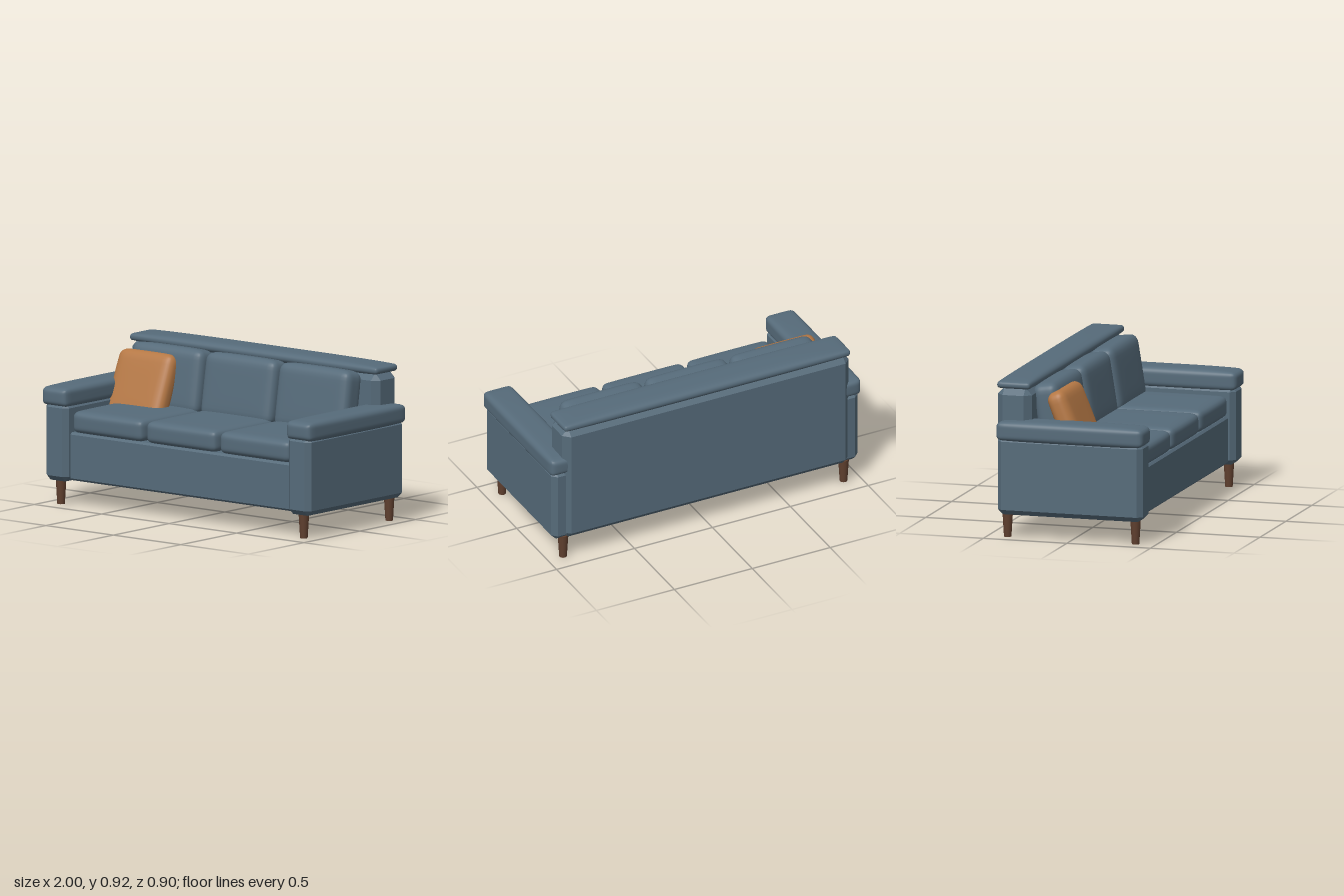
import * as THREE from 'three';
import { mergeVertices } from 'three/addons/utils/BufferGeometryUtils.js';
import { ConvexGeometry } from 'three/addons/geometries/ConvexGeometry.js';

const fabric = new THREE.MeshStandardMaterial({ color: 0x566b7a });
fabric.name = 'blue grey fabric';
const pillowFabric = new THREE.MeshStandardMaterial({ color: 0xb57845 });
pillowFabric.name = 'orange fabric';
const wood = new THREE.MeshStandardMaterial({ color: 0x60402f });
wood.name = 'brown wood';

// Box with every edge cut flat, given by its min and max corners
function chamferBox([x0, y0, z0], [x1, y1, z1], c) {
  const half = [(x1 - x0) / 2, (y1 - y0) / 2, (z1 - z0) / 2];
  const points = [];
  for (const sx of [-1, 1]) for (const sy of [-1, 1]) for (const sz of [-1, 1]) {
    for (let full = 0; full < 3; full++) {
      const [hx, hy, hz] = half.map((h, i) => (i === full ? h : h - c));
      points.push(new THREE.Vector3(sx * hx, sy * hy, sz * hz));
    }
  }
  return new ConvexGeometry(points).translate((x0 + x1) / 2, (y0 + y1) / 2, (z0 + z1) / 2);
}

// Smooth padded box: rounded edges of radius r, faces swollen by bulge
function softBox(size, r, bulge) {
  const half = size.map((s, i) => s / 2 - bulge[i]);
  let geo = new THREE.BoxGeometry(2, 2, 2, 18, 18, 18);
  geo.deleteAttribute('uv');
  geo.deleteAttribute('normal');
  geo = mergeVertices(geo, 1e-4);
  const pos = geo.attributes.position;
  const d = new THREE.Vector3();
  for (let i = 0; i < pos.count; i++) {
    // crowd the grid towards the edges
    const p = [pos.getX(i), pos.getY(i), pos.getZ(i)]
      .map((t, k) => half[k] * Math.sign(t) * (1 - (1 - Math.abs(t)) ** 2));
    const q = p.map((v, k) => THREE.MathUtils.clamp(v, r - half[k], half[k] - r));
    d.set(p[0] - q[0], p[1] - q[1], p[2] - q[2]).setLength(r);
    const s = [q[0] + d.x, q[1] + d.y, q[2] + d.z];
    const u = s.map((v, k) => v / half[k]);
    const fall = u.map((v) => 1 - v ** 4);
    pos.setXYZ(i,
      s[0] + bulge[0] * u[0] * fall[1] * fall[2],
      s[1] + bulge[1] * u[1] * fall[0] * fall[2],
      s[2] + bulge[2] * u[2] * fall[0] * fall[1]);
  }
  geo.computeVertexNormals();
  return geo;
}

export function createModel() {
  const sofa = new THREE.Group();
  sofa.name = 'sofa';
  const add = (name, geo, mat, x = 0, y = 0, z = 0, tilt = 0) => {
    const mesh = new THREE.Mesh(geo, mat);
    mesh.name = name;
    mesh.position.set(x, y, z);
    mesh.rotation.x = tilt;
    sofa.add(mesh);
  };

  // Frame
  add('base', chamferBox([-0.825, 0.147, -0.41], [0.825, 0.425, 0.4], 0.012), fabric);
  add('backPanel', chamferBox([-0.92, 0.138, -0.45], [0.92, 0.865, -0.245], 0.04), fabric);
  add('backTopPad', softBox([1.84, 0.066, 0.205], 0.02, [0.004, 0.012, 0.002]), fabric, 0, 0.882, -0.3475);

  // Arms and legs, mirrored
  const armPad = softBox([0.19, 0.122, 0.885], 0.025, [0.004, 0.009, 0.012]);
  const leg = new THREE.CylinderGeometry(0.031, 0.022, 0.145, 12);
  for (const side of [-1, 1]) {
    const name = side > 0 ? 'left' : 'right';
    const xs = [side * 0.815, side * 0.983].sort((a, b) => a - b);
    add(name + 'Arm', chamferBox([xs[0], 0.138, -0.428], [xs[1], 0.595, 0.44], 0.03), fabric);
    add(name + 'ArmPad', armPad, fabric, side * 0.905, 0.625, 0.0075);
    add(name + 'FrontLeg', leg, wood, side * 0.9, 0.0725, 0.38);
    add(name + 'BackLeg', leg, wood, side * 0.9, 0.0725, -0.385);
  }

  // Three seat and back cushions
  const seat = softBox([0.53, 0.137, 0.68], 0.035, [0.006, 0.006, 0.008]);
  const back = softBox([0.53, 0.385, 0.16], 0.045, [0.006, 0.008, 0.006]);
  for (const i of [-1, 0, 1]) {
    add('seatCushion', seat, fabric, i * 0.545, 0.4865, 0.07);
    add('backCushion', back, fabric, i * 0.545, 0.69, -0.174, -0.16);
  }

  // Loose pillow leaning in the corner
  add('throwPillow', softBox([0.41, 0.42, 0.125], 0.045, [0.006, 0.006, 0.008]),
    pillowFabric, -0.655, 0.645, -0.055, -0.385);

  return sofa;
}
